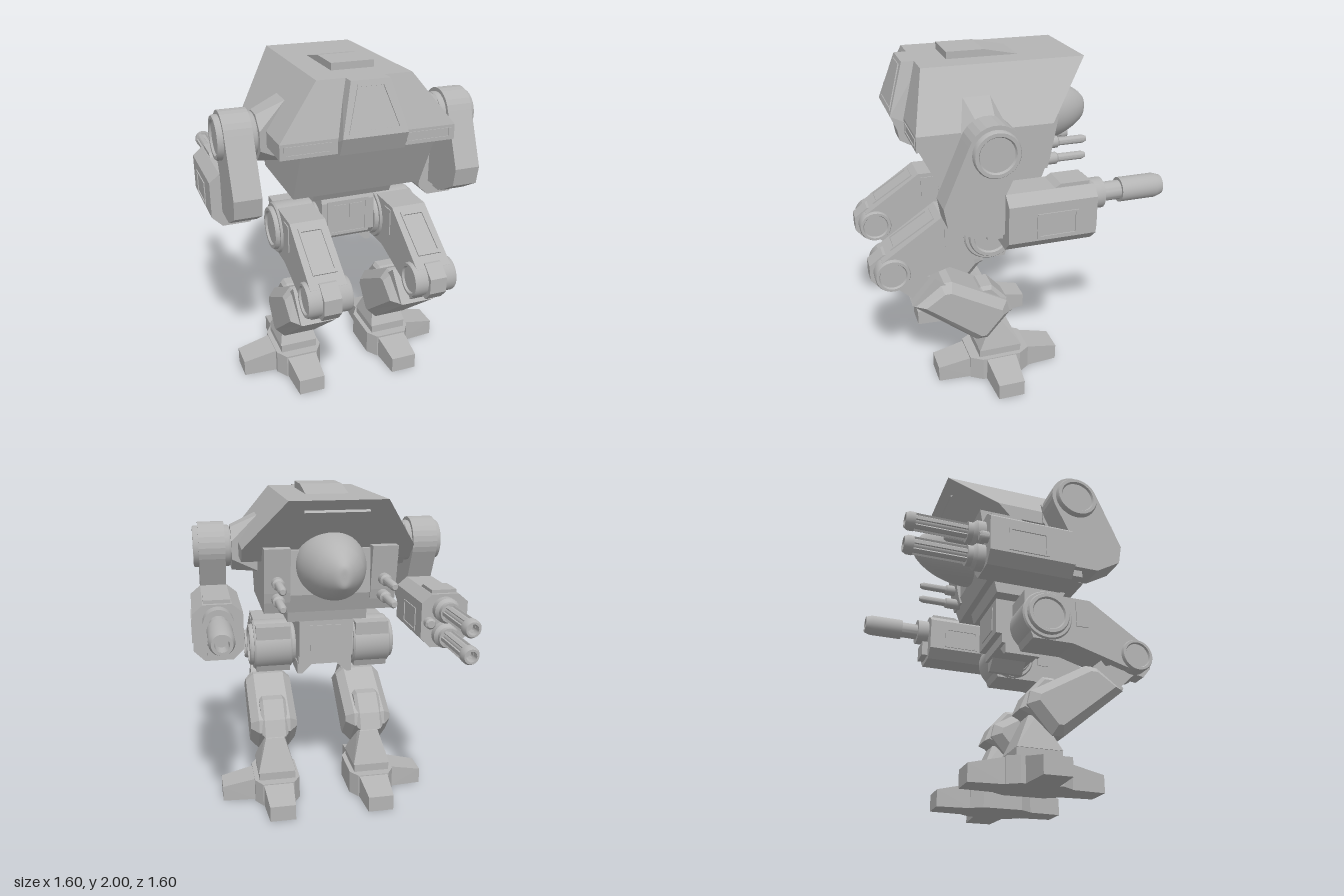
import * as THREE from 'three';
import { toCreasedNormals } from 'three/addons/utils/BufferGeometryUtils.js';
import { ConvexGeometry } from 'three/addons/geometries/ConvexGeometry.js';
import { ParametricGeometry } from 'three/addons/geometries/ParametricGeometry.js';

const grey = new THREE.MeshStandardMaterial({ color: 0xb4b4b4 });
grey.name = 'armour grey';

function add(parent, name, geo, x = 0, y = 0, z = 0, rx = 0) {
  const m = new THREE.Mesh(geo, grey);
  m.name = name;
  m.position.set(x, y, z);
  m.rotation.x = rx;
  parent.add(m);
  return m;
}
const box = (w, h, d) => new THREE.BoxGeometry(w, h, d);

// Side outline of [z, y] points, extruded along x and centred on x = 0
function prism(pts, width, bevel = 0) {
  const shape = new THREE.Shape(pts.map(([z, y]) => new THREE.Vector2(-z, y)));
  const depth = width - 2 * bevel;
  return new THREE.ExtrudeGeometry(shape, {
    depth, bevelEnabled: bevel > 0, bevelSize: bevel, bevelOffset: -bevel,
    bevelThickness: bevel, bevelSegments: 1, curveSegments: 20,
  }).translate(0, 0, -depth / 2).rotateY(Math.PI / 2);
}

// Faceted solid around [x, y, z] points
const solid = (pts) => new ConvexGeometry(pts.map((p) => new THREE.Vector3(...p)));
// Mirror points over x = 0
const both = (pts) => pts.flatMap(([x, y, z]) => [[x, y, z], [-x, y, z]]);

// Turned solid from [radius, distance] points, running to +x or -z
function turn(pts, axis, sides = 32) {
  const g = new THREE.LatheGeometry(pts.map((p) => new THREE.Vector2(...p)), sides);
  if (axis === 'x') g.rotateZ(-Math.PI / 2);
  else g.rotateX(-Math.PI / 2);
  return toCreasedNormals(g, 0.6);
}
// Joint disc along x with dished ends
function disc(r, w) {
  const h = w / 2, e = h - 0.012;
  return turn([[0, -e], [r * 0.74, -e], [r * 0.8, -h], [r * 0.95, -h], [r, -h + 0.01],
    [r, h - 0.01], [r * 0.95, h], [r * 0.8, h], [r * 0.74, e], [0, e]], 'x');
}

// Thin upright frame from corner points [x, y], facing +z
function frame(pts, k = 0.86) {
  const v = pts.map((p) => new THREE.Vector2(...p));
  const c = v.reduce((a, p) => a.add(p), new THREE.Vector2()).divideScalar(v.length);
  const shape = new THREE.Shape(v);
  shape.holes.push(new THREE.Path(v.map((p) => p.clone().sub(c).multiplyScalar(k).add(c))));
  return new THREE.ExtrudeGeometry(shape, { depth: 0.008, bevelEnabled: false });
}
const rect = (w, h) => [[-w / 2, -h / 2], [w / 2, -h / 2], [w / 2, h / 2], [-w / 2, h / 2]];

function buildTorso(root) {
  const g = new THREE.Group();
  g.name = 'torso';
  root.add(g);
  add(g, 'upperHull', solid(both([
    [0.27, 1.96, -0.48], [0.27, 1.96, 0.445], [0.5, 1.67, -0.22],
    [0.5, 1.67, 0.53], [0.5, 1.585, -0.14], [0.5, 1.585, 0.53]])));
  add(g, 'rearHump', solid(both([
    [0.11, 1.96, 0.515], [0.185, 1.685, 0.605], [0.185, 1.585, 0.56],
    [0.11, 1.96, 0.4], [0.185, 1.585, 0.4]])));
  add(g, 'rearWindowFrame', frame([[-0.15, -0.12], [0.15, -0.12], [0.075, 0.125], [-0.075, 0.125]], 0.9),
    0, 1.82, 0.559, -0.311);
  add(g, 'roofHatch', prism([[0.27, 1.955], [0.27, 2], [0.055, 2], [-0.14, 1.96], [-0.14, 1.955]], 0.25));
  add(g, 'belly', prism([[0.52, 1.59], [0.37, 1.29], [-0.2, 1.29], [-0.24, 1.4], [-0.24, 1.66], [0.4, 1.66]], 0.77));
  add(g, 'waist', prism([[0.32, 1.3], [0.27, 1.215], [-0.14, 1.215], [-0.16, 1.3]], 0.48));
  add(g, 'noseSlot', box(0.36, 0.03, 0.008), 0, 1.9, -0.427, 0.736);

  for (const s of [-1, 1]) {
    add(g, 'rearVentFrame', frame(rect(0.27, 0.05), 0.88), s * 0.345, 1.63, 0.527);
    // Shoulder mount flaring outward
    const pts = [[0.38, 1.82, 0.1], [0.38, 1.82, 0.25], [0.38, 1.48, 0.1], [0.38, 1.48, 0.25]];
    for (let i = 0; i < 8; i++) {
      const a = (i + 0.5) * Math.PI / 4;
      pts.push([0.54, 1.62 + 0.14 * Math.sin(a), 0.175 + 0.14 * Math.cos(a)]);
    }
    add(g, 'shoulderMount', solid(pts.map(([x, y, z]) => [s * x, y, z])));
    // Twin guns beside the cockpit
    add(g, 'gunPod', prism([[-0.1, 1.38], [-0.24, 1.36], [-0.255, 1.42], [-0.3, 1.68], [-0.2, 1.68], [-0.1, 1.6]], 0.15),
      s * 0.31);
    for (const y of [1.385, 1.485]) {
      add(g, 'smallGun', turn([[0, 0], [0.035, 0], [0.035, 0.1], [0.024, 0.11], [0.024, 0.26],
        [0.015, 0.28], [0, 0.28]], 'z', 16), s * 0.31, y, -0.22);
    }
  }
}

// Egg-shaped cockpit with raised window panes following its curve
function buildCockpit(root) {
  const g = new THREE.Group();
  g.name = 'cockpit';
  root.add(g);
  const path = new THREE.CatmullRomCurve3([
    [0.2, 0.19, -0.16], [0.195, 0.192, -0.3], [0.155, 0.163, -0.44], [0.108, 0.122, -0.53],
    [0.055, 0.075, -0.595], [0.03, 0.05, -0.612], [0, 0, -0.615]].map((p) => new THREE.Vector3(...p)));
  const egg = (angle, t, out, target) => {
    const p = path.getPoint(t);
    target.set(Math.sin(angle) * (p.x + out), 1.575 + Math.cos(angle) * (p.y + out), p.z);
  };
  add(g, 'cockpitShell', new ParametricGeometry((u, v, t) => egg(u * Math.PI * 2, v, 0, t), 40, 36));
  for (const [a0, a1] of [[-0.28, 0.28], [0.42, 0.85], [0.95, 1.35], [-0.85, -0.42], [-1.35, -0.95]]) {
    add(g, 'cockpitWindow', new ParametricGeometry(
      (u, v, t) => egg(a0 + (a1 - a0) * u, 0.42 + 0.22 * v, 0.005, t), 6, 6));
  }
}

function buildArm(root, s) {
  const g = new THREE.Group();
  g.name = s > 0 ? 'leftArm' : 'rightArm';
  g.position.x = s * 0.655;
  root.add(g);
  add(g, 'shoulderDisc', disc(0.125, 0.22), 0, 1.63, 0.175);
  add(g, 'shoulderAxle', disc(0.1, 0.1), -s * 0.12, 1.63, 0.175);
  // Upper arm with a rounded shoulder
  const pts = [[0.45, 1.36], [0.43, 1.25], [0.29, 1.17], [0.12, 1.17], [0.12, 1.4]];
  for (let i = 0; i <= 14; i++) {
    const a = -0.4 + (i / 14) * (Math.PI + 0.1);
    pts.push([0.175 - 0.147 * Math.cos(a), 1.63 + 0.147 * Math.sin(a)]);
  }
  add(g, 'upperArm', prism(pts, 0.155));
  add(g, 'elbowBlock', box(0.085, 0.2, 0.1), 0, 1.23, 0.16);
  // Forearm: chamfered block
  const corners = [[0.08, 1.4], [0.14, 1.35], [0.14, 1.14], [0.08, 1.08]];
  add(g, 'forearm', solid(both(corners.flatMap(([x, y]) => [[x, y, 0.125], [x, y, -0.365]]))));
  add(g, 'forearmTopPlate', prism([[-0.14, 1.395], [-0.18, 1.42], [-0.34, 1.42], [-0.34, 1.395]], 0.15));
  for (const k of [-1, 1]) {
    const panel = add(g, 'forearmPanel', frame(rect(0.23, 0.14), 0.85), k * 0.138, 1.225, -0.145);
    panel.rotation.y = k * Math.PI / 2;
  }
  if (s > 0) {
    // Heavy cannon
    add(g, 'cannon', turn([[0, 0], [0.085, 0], [0.085, 0.08], [0.053, 0.08], [0.053, 0.19], [0.068, 0.19],
      [0.068, 0.4], [0.055, 0.44], [0.038, 0.44], [0.036, 0.36], [0, 0.36]], 'z'), 0, 1.305, -0.36);
    add(g, 'cannonBlock', box(0.13, 0.1, 0.05), 0, 1.16, -0.38);
  } else {
    // Two fluted barrels and two side lamps
    for (const y of [1.31, 1.16]) {
      add(g, 'barrel', turn([[0, 0], [0.075, 0], [0.075, 0.05], [0.058, 0.07], [0.058, 0.1], [0.038, 0.1],
        [0.038, 0.39], [0.052, 0.39], [0.052, 0.42], [0.042, 0.44], [0.03, 0.44], [0.03, 0.36], [0, 0.36]], 'z', 24),
      0, y, -0.36);
      for (let i = 0; i < 6; i++) {
        const a = i * Math.PI / 3;
        add(g, 'barrelRib', box(0.02, 0.02, 0.31), 0.038 * Math.cos(a), y + 0.038 * Math.sin(a), -0.6).rotation.z = a;
      }
    }
    for (const k of [-1, 1]) {
      add(g, 'sideLamp', turn([[0, 0], [0.032, 0], [0.032, 0.045], [0.022, 0.055], [0, 0.055]], 'z', 20),
        k * 0.095, 1.235, -0.36);
    }
  }
}

function buildPelvis(root) {
  const g = new THREE.Group();
  g.name = 'pelvis';
  root.add(g);
  add(g, 'pelvisBlock', prism([[0.2, 1.21], [0.22, 1.16], [0.22, 0.96], [0.19, 0.92], [-0.08, 0.92],
    [-0.08, 0.98], [-0.12, 0.98], [-0.12, 1.21]], 0.33));
  add(g, 'waistColumn', box(0.3, 0.1, 0.26), 0, 1.2, 0.05);
  add(g, 'rearFrame', frame(rect(0.26, 0.22), 0.84), 0, 1.06, 0.217);
  add(g, 'frontPlate', box(0.2, 0.16, 0.008), 0, 1.1, -0.122);
  for (const s of [-1, 1]) {
    add(g, 'rearDoor', box(0.08, 0.165, 0.008), s * 0.05, 1.06, 0.22);
    add(g, 'lowerLug', solid([-0.06, 0.16].flatMap((z) =>
      [[0.17, 0.855, z], [0.14, 0.855, z], [0.06, 0.93, z], [0.17, 0.93, z]].map(([x, y, w]) => [s * x, y, w]))));
  }
}

function buildLeg(root, s) {
  const g = new THREE.Group();
  g.name = s > 0 ? 'leftLeg' : 'rightLeg';
  g.position.x = s * 0.312;
  root.add(g);
  // Thigh, hip and backward knee
  add(g, 'thigh', prism([[0.39, 1.155], [0.734, 0.92], [0.77, 0.835], [0.68, 0.745], [0.61, 0.755],
    [0.27, 0.855], [0.02, 0.855], [-0.03, 1.0], [-0.03, 1.155]], 0.21));
  add(g, 'hipDisc', disc(0.13, 0.285), 0, 1.01, 0.11);
  add(g, 'hipHub', disc(0.155, 0.235), 0, 1.01, 0.11);
  add(g, 'thighBackFrame', frame(rect(0.14, 0.3), 0.84), 0, 1.052, 0.552, 0.566 - Math.PI / 2);
  add(g, 'thighSidePlate', box(0.222, 0.16, 0.08), 0, 1.05, 0.335);
  add(g, 'kneeDisc', disc(0.1, 0.255), 0, 0.835, 0.68);
  add(g, 'kneeCap', prism([[0.8, 0.88], [0.8, 0.79], [0.75, 0.73], [0.62, 0.75], [0.66, 0.94], [0.72, 0.94]], 0.1));
  // Shin
  add(g, 'shinLink', prism([[0.71, 0.76], [0.5, 0.56], [0.42, 0.74], [0.6, 0.8]], 0.1));
  add(g, 'shinCollar', prism([[0.575, 0.61], [0.44, 0.77], [0.37, 0.71], [0.48, 0.56]], 0.22));
  add(g, 'shin', prism([[0.575, 0.6], [0.41, 0.725], [0.34, 0.725], [0, 0.53], [-0.02, 0.45],
    [0.12, 0.285], [0.19, 0.285]], 0.3, 0.05));
  add(g, 'shinGuard', prism([[0.2, 0.58], [0.155, 0.635], [0.085, 0.635], [-0.01, 0.53], [-0.052, 0.43],
    [0.02, 0.4]], 0.17, 0.02));
  // Ankle
  add(g, 'ankle', solid(both([[0.06, 0.4, 0.0], [0.06, 0.42, 0.06], [0.085, 0.28, 0.12], [0.085, 0.28, -0.05],
    [0.12, 0.2, 0.175], [0.12, 0.2, -0.09]])));
  add(g, 'ankleBase', box(0.23, 0.07, 0.265), 0, 0.165, 0.043);
  // Foot pad with chamfered corners
  const pad = [];
  for (const y of [0, 0.15]) {
    for (const z of [-1, 1]) pad.push([0.1, y, 0.043 + z * 0.19], [0.145, y, 0.043 + z * 0.12]);
  }
  add(g, 'footPad', solid(both(pad)));
  // Toes: front, rear and outer
  const toe = (name, angle, reach, x, z) => {
    const t = add(g, name, solid(both([[0.095, 0, 0], [0.095, 0.15, 0], [0.095, 0, 0.14], [0.095, 0.148, 0.13],
      [0.08, 0, reach], [0.08, 0.1, reach]])), x, 0, z);
    t.rotation.y = angle;
  };
  toe('frontToe', Math.PI, 0.345, 0, 0);
  toe('rearToe', 0, 0.37, 0, 0.06);
  toe('outerToe', s * Math.PI / 2, 0.35, 0, 0.043);
}

export function createModel() {
  const root = new THREE.Group();
  root.name = 'walker';
  buildTorso(root);
  buildCockpit(root);
  buildPelvis(root);
  for (const s of [-1, 1]) {
    buildArm(root, s);
    buildLeg(root, s);
  }
  return root;
}
